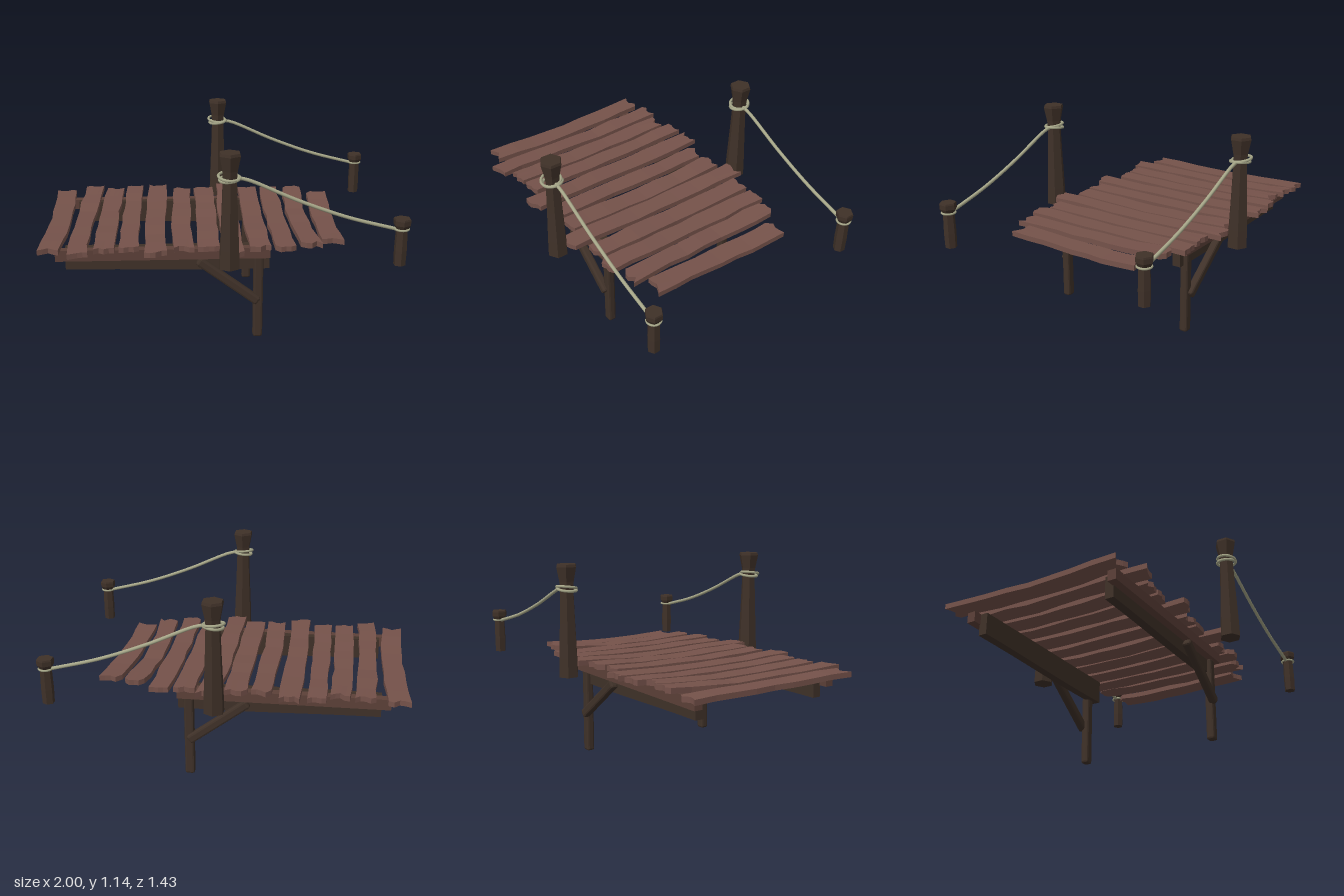
import * as THREE from 'three';
import { RoundedBoxGeometry } from 'three/addons/geometries/RoundedBoxGeometry.js';

const mat = (name, color, flat = true) => {
  const m = new THREE.MeshStandardMaterial({ color, flatShading: flat });
  m.name = name;
  return m;
};

export function createModel() {
  const model = new THREE.Group();
  model.name = 'dock';
  const plankWood = mat('plankWood', 0x75524a);
  const railWood = mat('railWood', 0x5c4038);
  const darkWood = mat('darkWood', 0x3f3128);
  const rope = mat('rope', 0xa6a688, false);

  let seed = 11;
  const rand = () => {
    seed = (seed * 16807) % 2147483647;
    return seed / 2147483647 - 0.5;
  };
  const add = (name, geo, material, x = 0, y = 0, z = 0, parent = model) => {
    const m = new THREE.Mesh(geo, material);
    m.name = name;
    m.position.set(x, y, z);
    parent.add(m);
    return m;
  };

  // Deck planks: back x, front x, middle bend, width, back z, front z, height, back lift
  const planks = [
    [-0.936, -0.928, 0.016, 0.118, -0.54, 0.5, 0.567, 0.0],
    [-0.76, -0.77, -0.01, 0.104, -0.57, 0.58, 0.567, 0.018],
    [-0.625, -0.627, -0.01, 0.108, -0.53, 0.51, 0.566, 0.012],
    [-0.495, -0.498, -0.006, 0.104, -0.58, 0.5, 0.569, 0.01],
    [-0.353, -0.35, -0.006, 0.116, -0.59, 0.57, 0.567, 0.01],
    [-0.195, -0.2, -0.01, 0.11, -0.53, 0.51, 0.569, 0.008],
    [-0.06, -0.062, 0.004, 0.116, -0.53, 0.51, 0.566, 0.01],
    [0.09, 0.072, -0.008, 0.112, -0.6, 0.59, 0.568, 0.014],
    [0.225, 0.221, -0.004, 0.118, -0.54, 0.505, 0.567, 0.008],
    [0.363, 0.358, -0.004, 0.11, -0.53, 0.52, 0.567, 0.006],
    [0.512, 0.505, -0.022, 0.112, -0.5, 0.47, 0.567, 0.02],
    [0.664, 0.632, -0.006, 0.118, -0.425, 0.405, 0.558, 0.012],
  ];
  const deck = new THREE.Group();
  deck.name = 'deck';
  model.add(deck);
  const COLS = 4, ROWS = 8;
  for (const [xb, xf, bend, w, zb, zf, y, lift] of planks) {
    const geo = new THREE.BoxGeometry(1, 0.03, 1, COLS, 1, ROWS);
    const row = () => Array.from({ length: ROWS + 1 }, rand);
    const left = row(), right = row(), wave = row();
    const jagged = [0, 1].map(() => Array.from({ length: COLS + 1 }, () => rand() * 0.04));
    const p = geo.attributes.position;
    for (let i = 0; i < p.count; i++) {
      const u = p.getX(i) + 0.5, t = p.getZ(i) + 0.5;
      const c = Math.round(u * COLS), r = Math.round(t * ROWS);
      const wobble = (left[r] * (1 - u) + right[r] * u) * 0.012;
      const chip = r === 0 ? jagged[0][c] : r === ROWS ? jagged[1][c] : 0;
      const x = THREE.MathUtils.lerp(xb, xf, t) + bend * Math.sin(Math.PI * t) + (u - 0.5) * w + wobble;
      const sag = -0.007 * Math.sin(Math.PI * t) + lift * Math.max(0, 1 - t * 3);
      p.setXYZ(i, x, y + p.getY(i) + sag + wave[r] * 0.006, THREE.MathUtils.lerp(zb, zf, t) + chip);
    }
    geo.computeVertexNormals();
    add('plank', geo, plankWood, 0, 0, 0, deck);
  }

  // Faceted post built from radius and height pairs
  const postGeo = (profile) => new THREE.LatheGeometry(
    profile.map(([r, h]) => new THREE.Vector2(r, h)), 6);
  const tallPost = postGeo([[0, 0.515], [0.06, 0.515], [0.057, 0.62], [0.048, 0.82], [0.041, 1.01],
    [0.045, 1.05], [0.062, 1.13], [0.058, 1.145], [0, 1.145]]);
  const shortPost = postGeo([[0, 0.515], [0.033, 0.515], [0.035, 0.6], [0.032, 0.715],
    [0.047, 0.742], [0.048, 0.768], [0.045, 0.777], [0, 0.777]]);

  // Hanging rope and its loops
  const ropePath = new THREE.CatmullRomCurve3([[0.075, 1.01], [0.13, 1], [0.4, 0.882], [0.66, 0.787], [0.92, 0.718]]
    .map(([x, y]) => new THREE.Vector3(x, y, 0)));
  const ropeGeo = new THREE.TubeGeometry(ropePath, 24, 0.01, 8);
  const loopGeo = (r, t) => new THREE.TorusGeometry(r, t, 6, 20).rotateX(Math.PI / 2);
  const bigLoop = loopGeo(0.054, 0.008), smallLoop = loopGeo(0.037, 0.006);

  // Support beam with a slightly uneven underside
  const beamGeo = new THREE.BoxGeometry(1.13, 0.137, 0.05, 8, 1, 1);
  const bp = beamGeo.attributes.position;
  for (let i = 0; i < bp.count; i++) {
    if (bp.getY(i) < 0) bp.setY(i, bp.getY(i) + 0.007 * Math.cos(bp.getX(i) * 3.5 + 1.9) + 0.004);
  }
  const chamfered = (w, h, d) => new RoundedBoxGeometry(w, h, d, 1, 0.012);
  const legGeo = chamfered(0.055, 0.5, 0.048);
  const braceGeo = chamfered(0.42, 0.052, 0.046);
  const railGeo = new THREE.BoxGeometry(1.18, 0.062, 0.05);

  // Matching framework and rope rail on each side
  for (const s of [1, -1]) {
    const side = new THREE.Group();
    side.name = s > 0 ? 'frontSide' : 'backSide';
    side.position.z = -0.007;
    model.add(side);
    const put = (name, geo, material, x, y, z) => add(name, geo, material, x, y, s * z, side);
    put('beam', beamGeo, darkWood, -0.285, 0.483, 0.402);
    put('sideRail', railGeo, railWood, -0.31, 0.522, 0.446);
    put('leg', legGeo, darkWood, 0.218, 0.25, 0.427);
    put('brace', braceGeo, darkWood, 0.05, 0.352, 0.451).rotation.z = -0.645;
    put('tallPost', tallPost, darkWood, 0.042, 0, 0.65);
    put('shortPost', shortPost, darkWood, 0.952, 0, 0.65);
    put('hangingRope', ropeGeo, rope, 0, 0, 0.65);
    put('ropeLoop', bigLoop, rope, 0.042, 1.005, 0.65).rotation.set(0.06, 0, 0.12);
    put('ropeLoop', bigLoop, rope, 0.036, 1.018, 0.655).rotation.set(0.16, 0, -0.1);
    put('ropeLoop', smallLoop, rope, 0.952, 0.718, 0.65);
  }
  return model;
}
